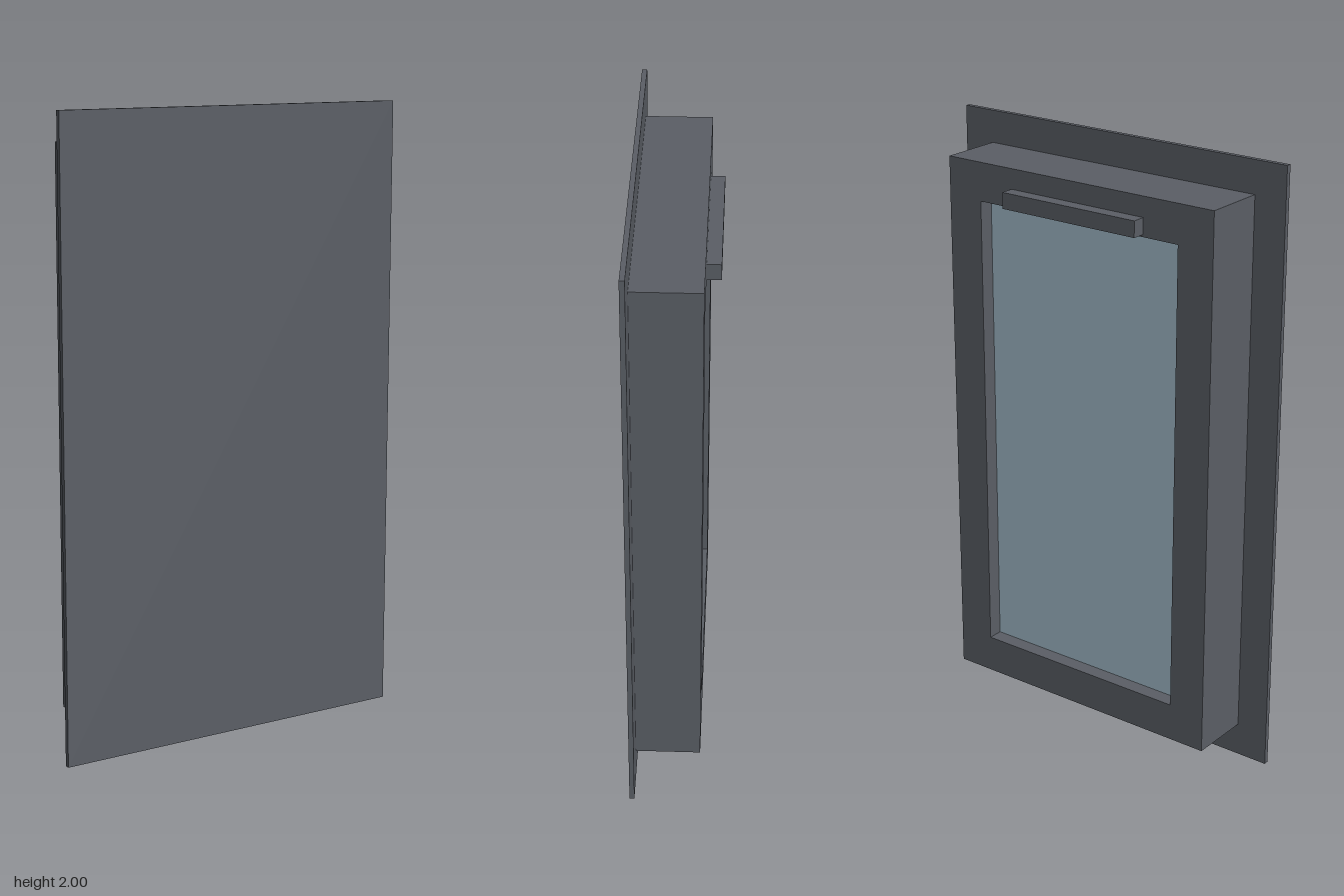
import * as THREE from 'three';

export function createModel() {
  const model = new THREE.Group();
  const grey = new THREE.MeshStandardMaterial({ color: 0x5b5f66 });
  grey.name = 'frameGrey';
  const blue = new THREE.MeshStandardMaterial({ color: 0xa3bccb });
  blue.name = 'glassBlue';

  const add = (name, geometry, material, x, y, z) => {
    const mesh = new THREE.Mesh(geometry, material);
    mesh.name = name;
    mesh.position.set(x, y, z);
    model.add(mesh);
  };
  const box = (name, w, h, d, material, y, z) =>
    add(name, new THREE.BoxGeometry(w, h, d), material, 0, y, z);

  // Thin full-size front plate
  box('frontPlate', 1.216, 2, 0.016, grey, 1, 0.127);

  // Deep surround with a rectangular opening
  const rectangle = (path, w, h) => {
    path.moveTo(-w / 2, -h / 2);
    path.lineTo(w / 2, -h / 2);
    path.lineTo(w / 2, h / 2);
    path.lineTo(-w / 2, h / 2);
    path.closePath();
    return path;
  };
  const outline = rectangle(new THREE.Shape(), 1, 1.785);
  outline.holes.push(rectangle(new THREE.Path(), 0.75, 1.535));
  const surround = new THREE.ExtrudeGeometry(outline, { depth: 0.21, bevelEnabled: false });
  add('surround', surround, grey, 0, 1.0025, -0.091);

  // Recessed pane facing the back
  box('glassPane', 0.75, 1.535, 0.008, blue, 1.0025, -0.037);

  // Bar across the top of the surround
  box('topBar', 0.5, 0.052, 0.045, grey, 1.804, -0.1125);

  return model;
}
